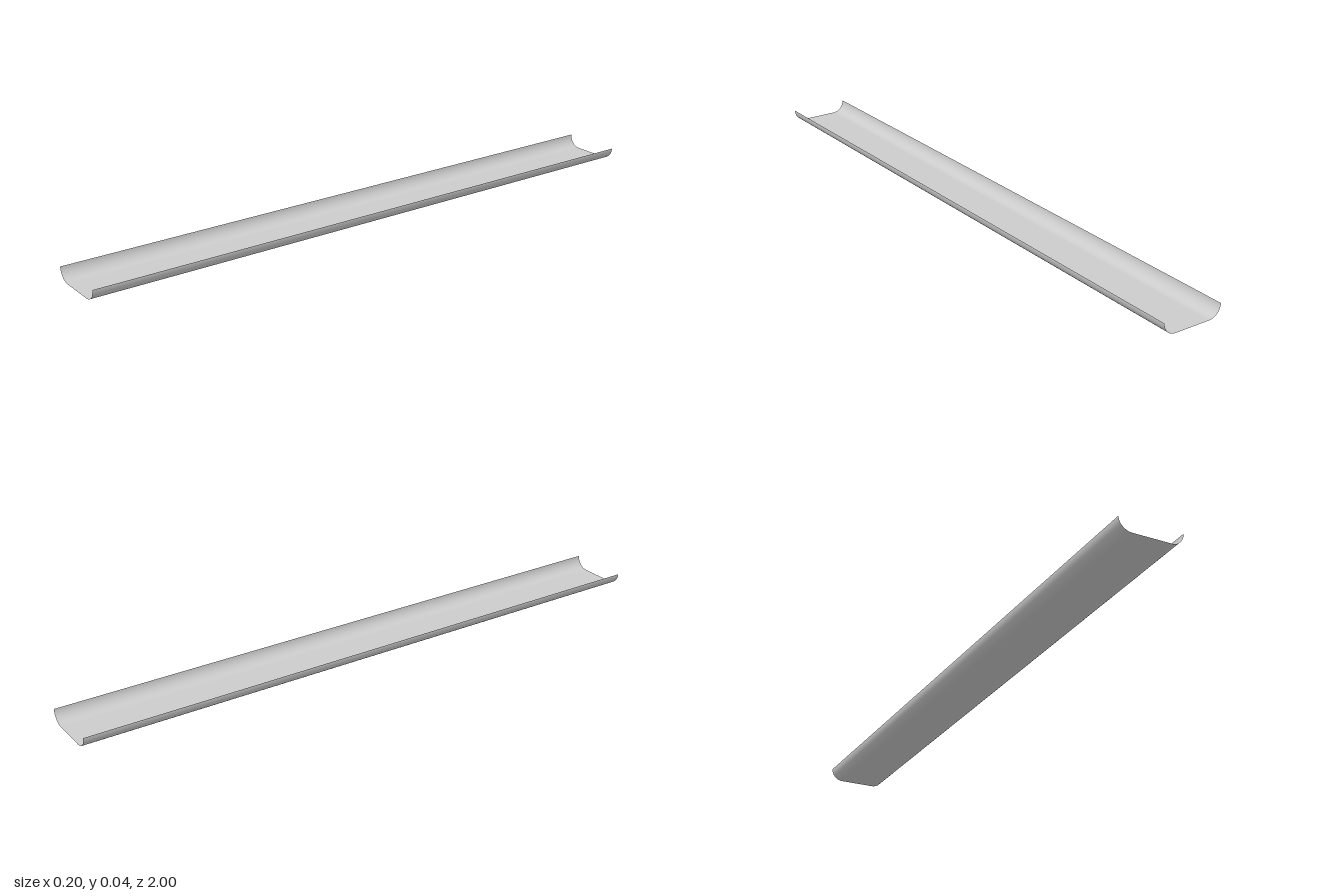
import * as THREE from 'three';

const LENGTH = 2, HALF_WIDTH = 0.1, RADIUS = 0.04, ARC_STEPS = 12;

// Cross-section: flat floor with a quarter-round lip rising on each side
function troughProfile() {
  const right = [];
  for (let i = 0; i <= ARC_STEPS; i++) {
    const a = (i / ARC_STEPS) * Math.PI / 2;
    right.push([HALF_WIDTH - RADIUS + RADIUS * Math.sin(a), RADIUS * (1 - Math.cos(a))]);
  }
  const left = right.map(([x, y]) => [-x, y]).reverse();
  return [...left, ...right];
}

export function createModel() {
  const group = new THREE.Group();
  group.name = 'trough';

  // Thin sheet, bent across its width to follow the profile
  const profile = troughProfile();
  const columns = profile.length;
  const geometry = new THREE.PlaneGeometry(2 * HALF_WIDTH, LENGTH, columns - 1, 1);
  geometry.rotateX(-Math.PI / 2);
  const position = geometry.attributes.position;
  for (let i = 0; i < position.count; i++) {
    const [x, y] = profile[i % columns];
    position.setXYZ(i, x, y, position.getZ(i));
  }
  geometry.computeVertexNormals();

  const material = new THREE.MeshStandardMaterial({ color: 0xcccccc, side: THREE.DoubleSide });
  const sheet = new THREE.Mesh(geometry, material);
  sheet.name = 'channelSheet';
  group.add(sheet);
  return group;
}
